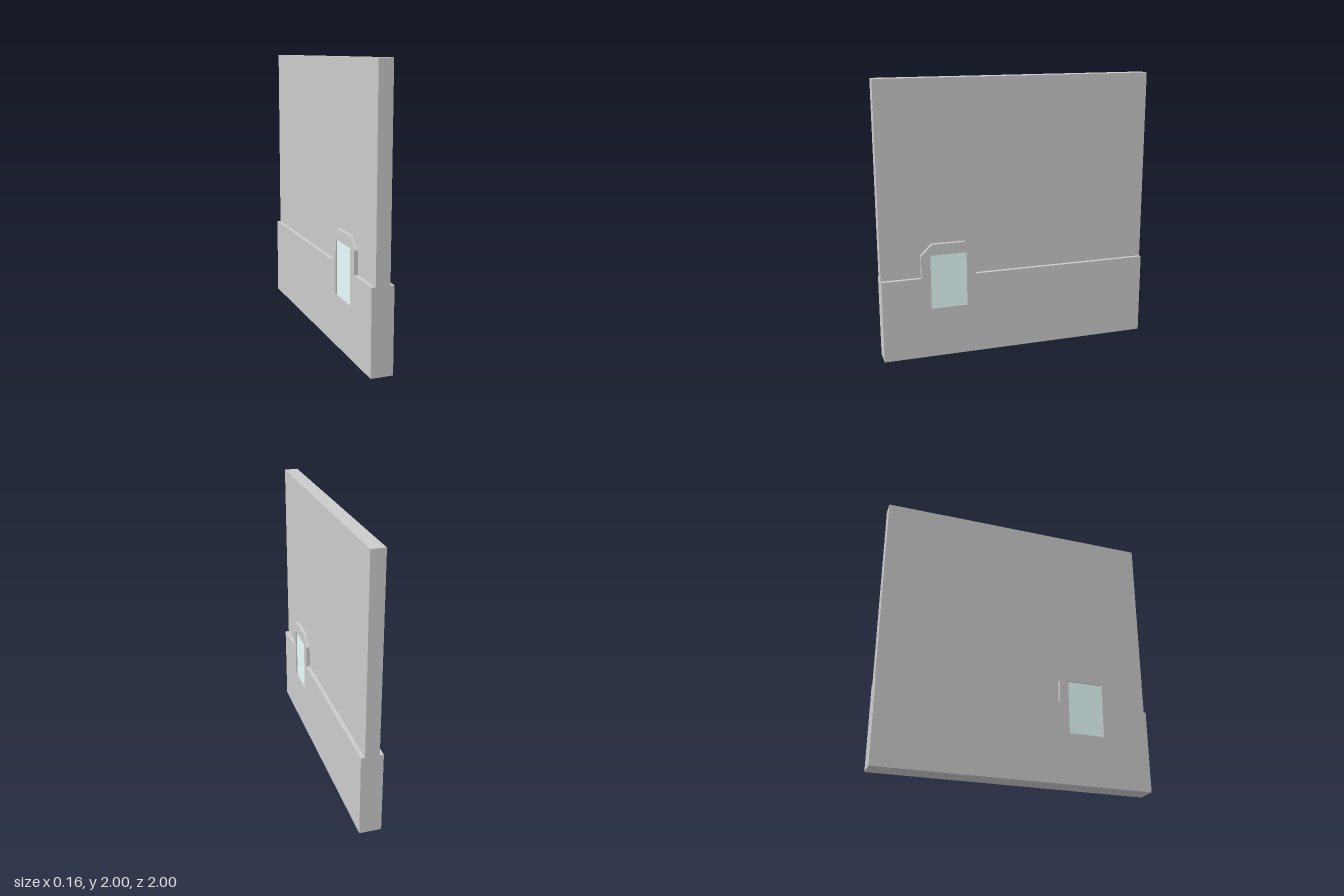
import * as THREE from 'three';

const grey = new THREE.MeshStandardMaterial({ color: 0xcccccc, flatShading: true });
const glass = new THREE.MeshStandardMaterial({ color: 0xe8fffe, flatShading: true });

// Step line between the thick base and the thin wall, as [z, y] from front to back
const stepLine = [
  [1, 0.6], [0.715, 0.6], [0.715, 0.765], [0.635, 0.845],
  [0.395, 0.845], [0.318, 0.765], [0.318, 0.6], [-1, 0.6],
];
const opening = { z0: 0.385, z1: 0.648, y0: 0.37, y1: 0.765 };

// Outline in [z, y], extruded across x and centred
function slab(name, points, thickness, hole) {
  const toShape = ([z, y]) => new THREE.Vector2(-z, y);
  const shape = new THREE.Shape(points.map(toShape));
  if (hole) shape.holes.push(new THREE.Path(hole.map(toShape)));
  const geometry = new THREE.ExtrudeGeometry(shape, { depth: thickness, bevelEnabled: false });
  geometry.translate(0, 0, -thickness / 2).rotateY(Math.PI / 2);
  const mesh = new THREE.Mesh(geometry, grey);
  mesh.name = name;
  return mesh;
}

export function createModel() {
  const model = new THREE.Group();
  model.name = 'wallPanel';
  const { z0, z1, y0, y1 } = opening;

  // Thick base with the raised window surround
  model.add(slab('base', [[-1, 0], [1, 0], ...stepLine], 0.156,
    [[z0, y0], [z0, y1], [z1, y1], [z1, y0]]));

  // Thin upper wall resting on the base
  model.add(slab('upperWall', [...stepLine, [-1, 2], [1, 2]], 0.1));

  // Window pane, slightly recessed on both faces
  const pane = new THREE.Mesh(new THREE.BoxGeometry(0.136, y1 - y0, z1 - z0), glass);
  pane.position.set(0, (y0 + y1) / 2, (z0 + z1) / 2);
  pane.name = 'windowPane';
  model.add(pane);

  return model;
}
